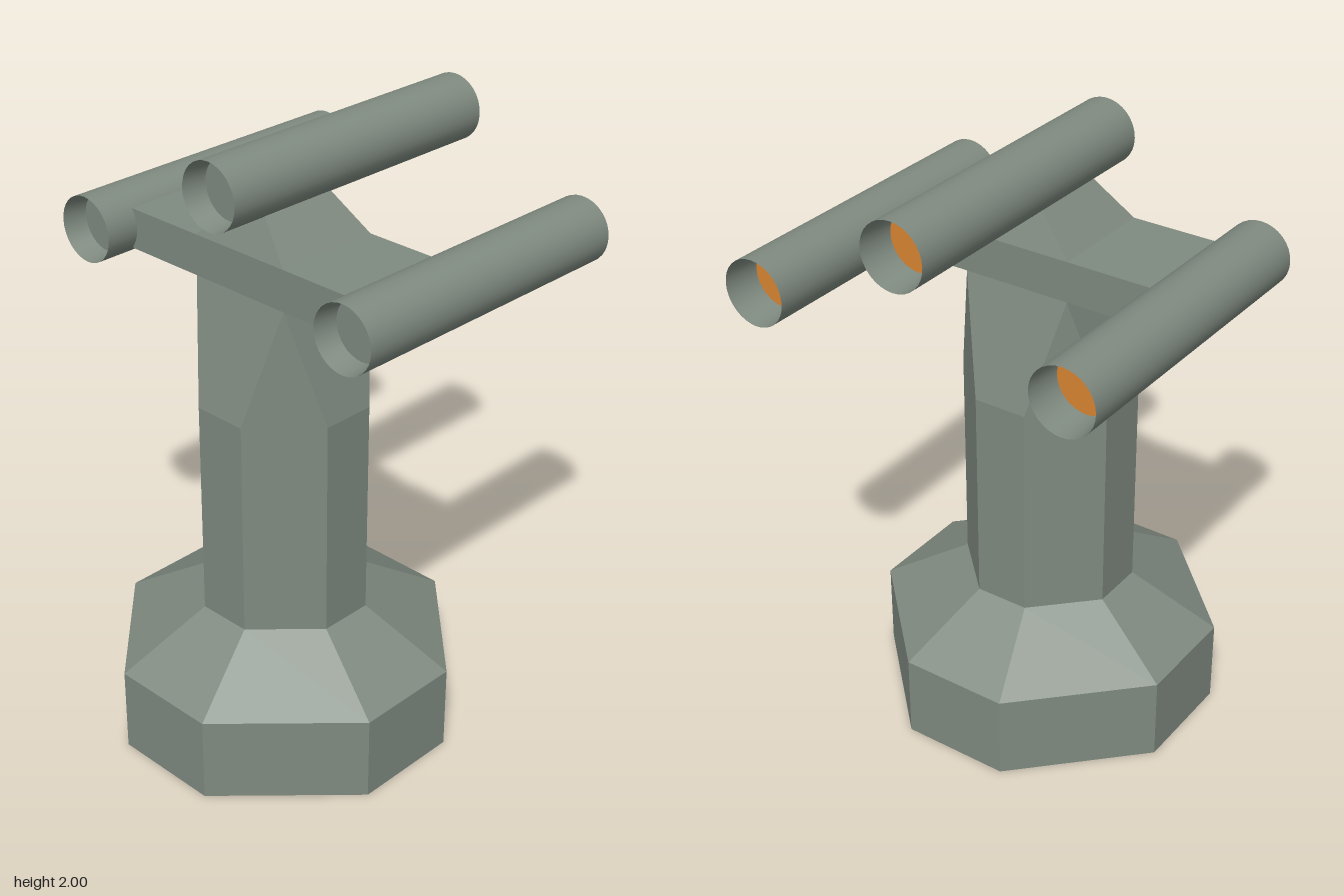
import * as THREE from 'three';

const hull = new THREE.MeshStandardMaterial({ color: 0x7f8a80, flatShading: true });
const tubeMat = new THREE.MeshStandardMaterial({ color: 0x7f8a80, side: THREE.DoubleSide });
const orange = new THREE.MeshStandardMaterial({ color: 0xd88432 });

// Eight-cornered ring: half-extents hx, hz and half-widths of the flats fx, fz
function ring([y, hx, fx, hz, fz]) {
  return [[hx, -fz], [hx, fz], [fx, hz], [-fx, hz], [-hx, fz], [-hx, -fz], [-fx, -hz], [fx, -hz]]
    .map(([x, z]) => new THREE.Vector3(x, y, z));
}

// Flat-shaded solid skinned through a stack of rings, capped at both ends
function loft(profile) {
  const rings = profile.map(ring);
  const pos = [];
  const tri = (a, b, c) => {
    if (new THREE.Triangle(a, b, c).getArea() > 1e-7) {
      for (const p of [a, b, c]) pos.push(p.x, p.y, p.z);
    }
  };
  for (let k = 0; k < rings.length - 1; k++) {
    for (let i = 0; i < 8; i++) {
      const j = (i + 1) % 8, lo = rings[k], hi = rings[k + 1];
      tri(lo[i], hi[i], hi[j]);
      tri(lo[i], hi[j], lo[j]);
    }
  }
  const bottom = rings[0], top = rings[rings.length - 1];
  for (let i = 1; i < 7; i++) {
    tri(bottom[0], bottom[i], bottom[i + 1]);
    tri(top[0], top[i + 1], top[i]);
  }
  const g = new THREE.BufferGeometry();
  g.setAttribute('position', new THREE.Float32BufferAttribute(pos, 3));
  g.computeVertexNormals();
  return g;
}

function add(parent, name, geometry, material, x = 0, y = 0, z = 0) {
  const mesh = new THREE.Mesh(geometry, material);
  mesh.name = name;
  mesh.position.set(x, y, z);
  parent.add(mesh);
  return mesh;
}

// Launch tube along x with a tapered recess at each end
function launchTube(name, y, z) {
  const R = 0.107, r = 0.096, x0 = -0.405, x1 = 0.65, front = 0.12, rear = 0.08;
  const tube = new THREE.Group();
  tube.name = name;
  tube.position.set(0, y, z);
  const sleeve = (rTop, rBottom, len) =>
    new THREE.CylinderGeometry(rTop, rBottom, len, 32, 1, true).rotateZ(-Math.PI / 2);
  const disc = (dir) => new THREE.CircleGeometry(r, 32).rotateY(dir * Math.PI / 2);
  add(tube, 'shell', sleeve(R, R, x1 - x0), tubeMat, (x0 + x1) / 2);
  add(tube, 'frontRecess', sleeve(R, r, front), tubeMat, x1 - front / 2);
  add(tube, 'rearRecess', sleeve(r, R, rear), tubeMat, x0 + rear / 2);
  add(tube, 'frontDisc', disc(1), orange, x1 - front);
  add(tube, 'rearDisc', disc(-1), tubeMat, x0 + rear);
  return tube;
}

export function createModel() {
  const model = new THREE.Group();
  const cx = -0.11, cz = 0.018;

  // Octagonal foot with a sloping skirt
  add(model, 'base', loft([
    [0, 0.545, 0.182, 0.545, 0.182],
    [0.285, 0.545, 0.182, 0.545, 0.182],
    [0.455, 0.273, 0.091, 0.273, 0.091],
  ]), hull, cx, 0, cz);

  // Octagonal column turning into a square head with a tapered saddle
  add(model, 'column', loft([
    [0.455, 0.273, 0.091, 0.273, 0.091],
    [1.18, 0.273, 0.091, 0.273, 0.091],
    [1.56, 0.182, 0.182, 0.182, 0.182],
    [1.692, 0.182, 0.182, 0.182, 0.182],
    [1.81, 0.135, 0.135, 0.06, 0.06],
  ]), hull, cx, 0, cz);

  // Side arms and their tubes
  for (const [side, s] of [['front', 1], ['back', -1]]) {
    const inner = cz + s * 0.18, outer = s * 0.45;
    add(model, side + 'Arm', new THREE.BoxGeometry(0.364, 0.132, Math.abs(outer - inner)),
      hull, cx, 1.626, (inner + outer) / 2);
    model.add(launchTube(side + 'Tube', 1.63, s * 0.535));
  }
  model.add(launchTube('topTube', 1.893, cz));
  return model;
}
